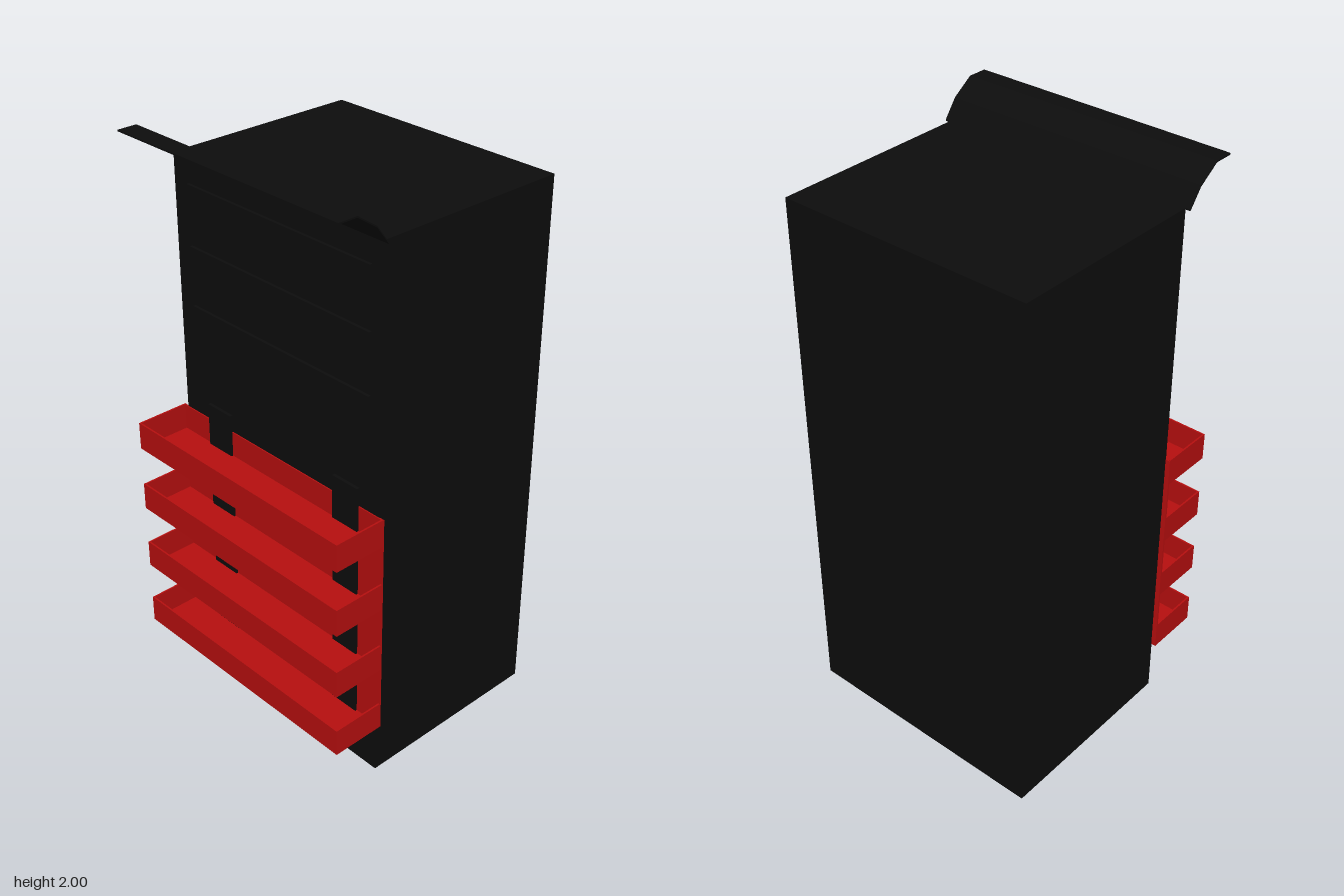
import * as THREE from 'three';

const black = new THREE.MeshStandardMaterial({ color: 0x0d0d0d });
const blackThin = new THREE.MeshStandardMaterial({ color: 0x0d0d0d, side: THREE.DoubleSide });
const red = new THREE.MeshStandardMaterial({ color: 0xb80f0f });

// Box given by its low and high limits on each axis
function block(name, material, [x0, x1], [y0, y1], [z0, z1]) {
  const mesh = new THREE.Mesh(new THREE.BoxGeometry(x1 - x0, y1 - y0, z1 - z0), material);
  mesh.position.set((x0 + x1) / 2, (y0 + y1) / 2, (z0 + z1) / 2);
  mesh.name = name;
  return mesh;
}

const HALF = 0.472;   // half width of trays and canopy
const FRONT = 0.255;  // front plane of the cabinet
const LIP = 0.446;    // outermost front of the trays
const T = 0.006;      // sheet thickness

// Open-topped tray: floor, front lip, two ends
function makeTray(y) {
  const tray = new THREE.Group();
  tray.name = 'tray';
  const top = y + 0.097;
  tray.add(
    block('trayFloor', red, [-HALF, HALF], [y, y + T], [FRONT, LIP]),
    block('trayLip', red, [-HALF, HALF], [y, top], [LIP - T, LIP]),
    block('trayEndRight', red, [-HALF, -HALF + T], [y, top], [FRONT, LIP]),
    block('trayEndLeft', red, [HALF - T, HALF], [y, top], [FRONT, LIP])
  );
  return tray;
}

// Thin bent sheet across the top front edge
function makeCanopy() {
  const profile = [[0.255, 1.89], [0.3, 1.95], [0.372, 1.999], [0.44, 1.999]];
  const outline = new THREE.Shape();
  profile.forEach(([z, y], i) => (i ? outline.lineTo(-z, y) : outline.moveTo(-z, y)));
  [...profile].reverse().forEach(([z, y]) => outline.lineTo(-z, y - 0.005));
  const geometry = new THREE.ExtrudeGeometry(outline, { depth: 2 * HALF, bevelEnabled: false });
  geometry.translate(0, 0, -HALF).rotateY(Math.PI / 2);
  const canopy = new THREE.Mesh(geometry, blackThin);
  canopy.name = 'canopy';
  return canopy;
}

export function createModel() {
  const model = new THREE.Group();
  model.name = 'displayCabinet';

  model.add(block('cabinet', black, [-0.455, 0.453], [0, 1.89], [-0.445, FRONT]));
  model.add(makeCanopy());

  // Raised panels on the upper front and at the foot
  for (const y of [1.21, 1.415, 1.62]) {
    model.add(block('upperPanel', black, [-0.385, 0.41], [y, y + 0.188], [FRONT, 0.265]));
  }
  model.add(block('footPanel', black, [-0.13, 0.13], [0, 0.168], [FRONT, 0.265]));

  // Red backing sheet with four trays, each holding two upright brackets
  model.add(block('backingSheet', red, [-HALF, HALF], [0.195, 1], [FRONT - 0.002, FRONT + 0.004]));
  for (let i = 0; i < 4; i++) {
    const y = 0.195 + i * 0.2367;
    model.add(makeTray(y));
    model.add(block('bracketRight', black, [-0.332, -0.222], [y + T, y + 0.157], [FRONT, 0.266]));
    model.add(block('bracketLeft', black, [0.26, 0.368], [y + T, y + 0.16], [FRONT, 0.266]));
  }
  return model;
}
